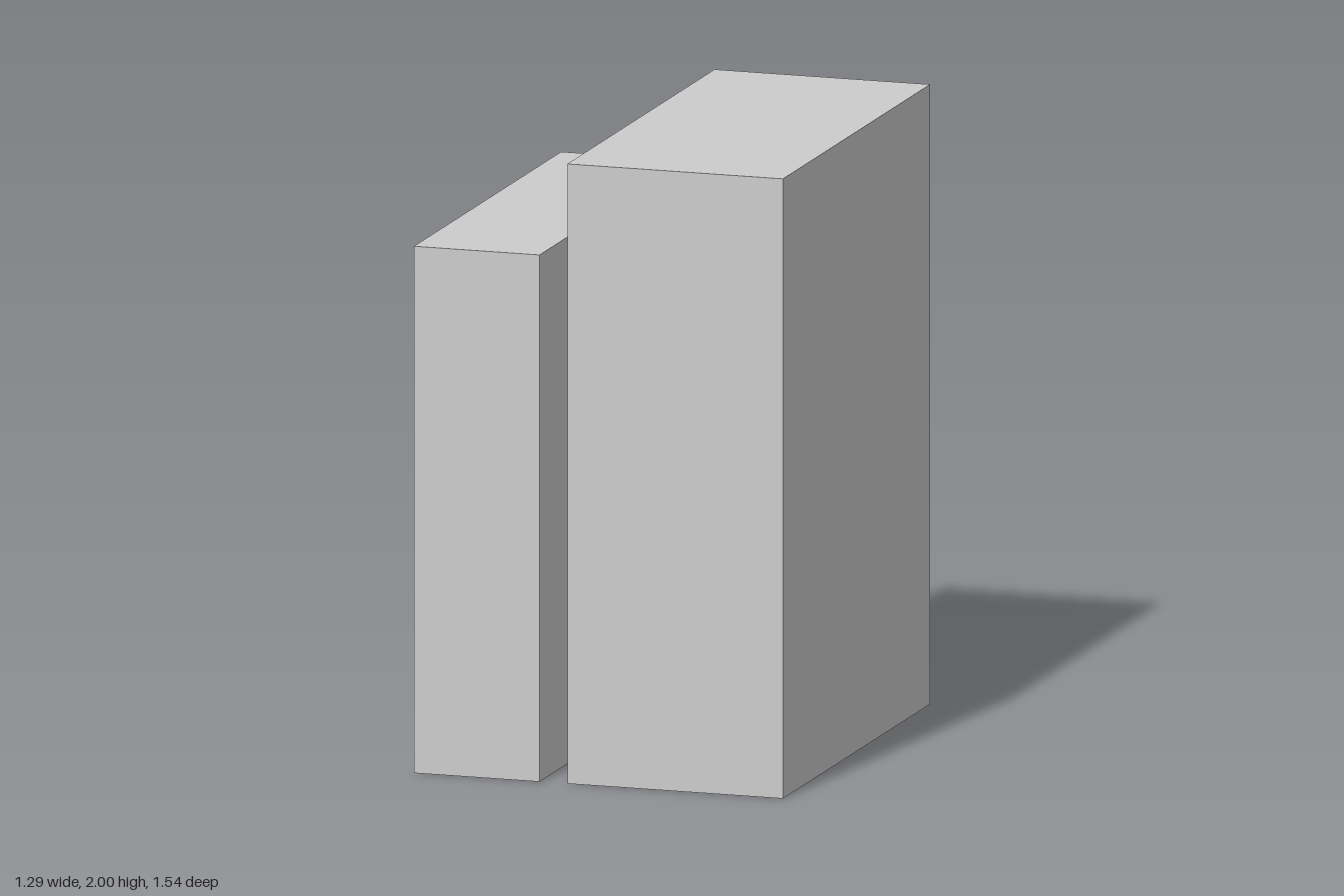
import * as THREE from 'three';

const DEPTH = 1.487;
const TURN = -0.0475; // both towers share a slight turn about the vertical

export function createModel() {
  const group = new THREE.Group();
  const material = new THREE.MeshStandardMaterial({ color: 0xcccccc, flatShading: true });

  // Upright block standing on the ground
  function addTower(name, width, height, x, z) {
    const tower = new THREE.Mesh(new THREE.BoxGeometry(width, height, DEPTH), material);
    tower.name = name;
    tower.position.set(x, height / 2, z);
    tower.rotation.y = TURN;
    group.add(tower);
  }

  addTower('tallTower', 0.716, 2, 0.253, 0.011);
  addTower('shortTower', 0.417, 1.7, -0.405, -0.02);

  return group;
}
